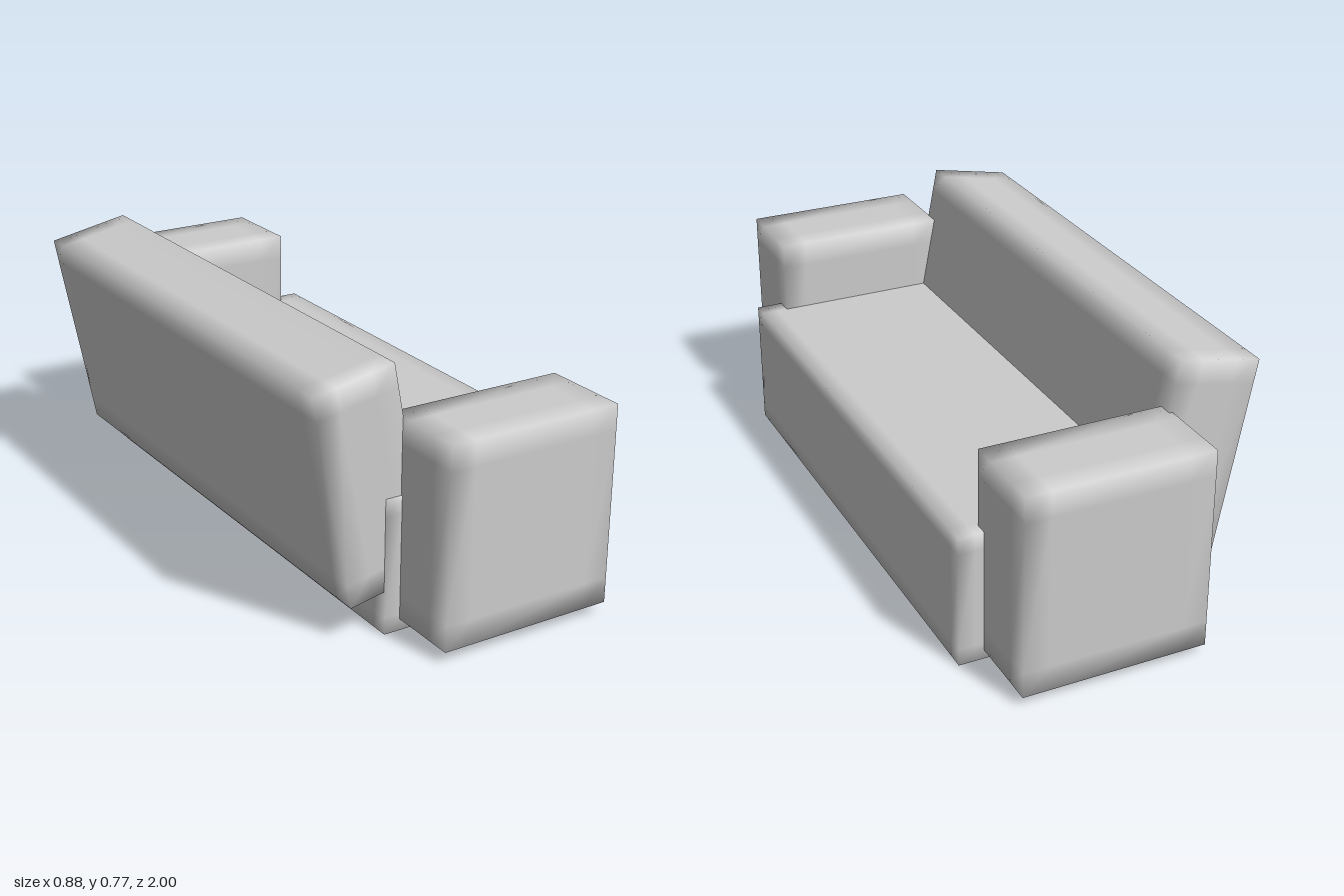
import * as THREE from 'three';
import { mergeVertices } from 'three/addons/utils/BufferGeometryUtils.js';

// Sharp-outlined block with support loops near its edges and soft shared normals.
function softBlock(w, h, d, inset) {
  const geo = new THREE.BoxGeometry(w, h, d, 3, 3, 3);
  const pos = geo.attributes.position;
  const snap = (v, size) => {
    if (Math.abs(v) > size * 0.4) return v;
    return Math.sign(v) * (size / 2 - Math.min(inset, size * 0.35));
  };
  for (let i = 0; i < pos.count; i++) {
    pos.setXYZ(i, snap(pos.getX(i), w), snap(pos.getY(i), h), snap(pos.getZ(i), d));
  }
  geo.deleteAttribute('normal');
  geo.deleteAttribute('uv');
  const merged = mergeVertices(geo, 1e-4);
  merged.computeVertexNormals();
  return merged;
}

export function createModel() {
  const sofa = new THREE.Group();
  sofa.name = 'sofa';
  const material = new THREE.MeshStandardMaterial({ color: 0xcccccc });

  function addBlock(name, size, centre, inset, tilt = 0) {
    const mesh = new THREE.Mesh(softBlock(...size, inset), material);
    mesh.name = name;
    mesh.position.set(...centre);
    mesh.rotation.z = tilt;
    sofa.add(mesh);
  }

  // Seat base, running along z and facing +x
  addBlock('seat', [0.658, 0.396, 1.56], [0.111, 0.198, 0.01], 0.05);

  // Backrest leaning away from the seat
  addBlock('backrest', [0.248, 0.63, 1.56], [-0.26, 0.438, 0.005], 0.07, 0.193);

  // Armrests at both ends; the far one is slightly larger
  addBlock('frontArmrest', [0.53, 0.582, 0.262], [0.095, 0.325, 0.869], 0.075);
  addBlock('backArmrest', [0.545, 0.596, 0.267], [0.093, 0.325, -0.8665], 0.075);

  return sofa;
}
